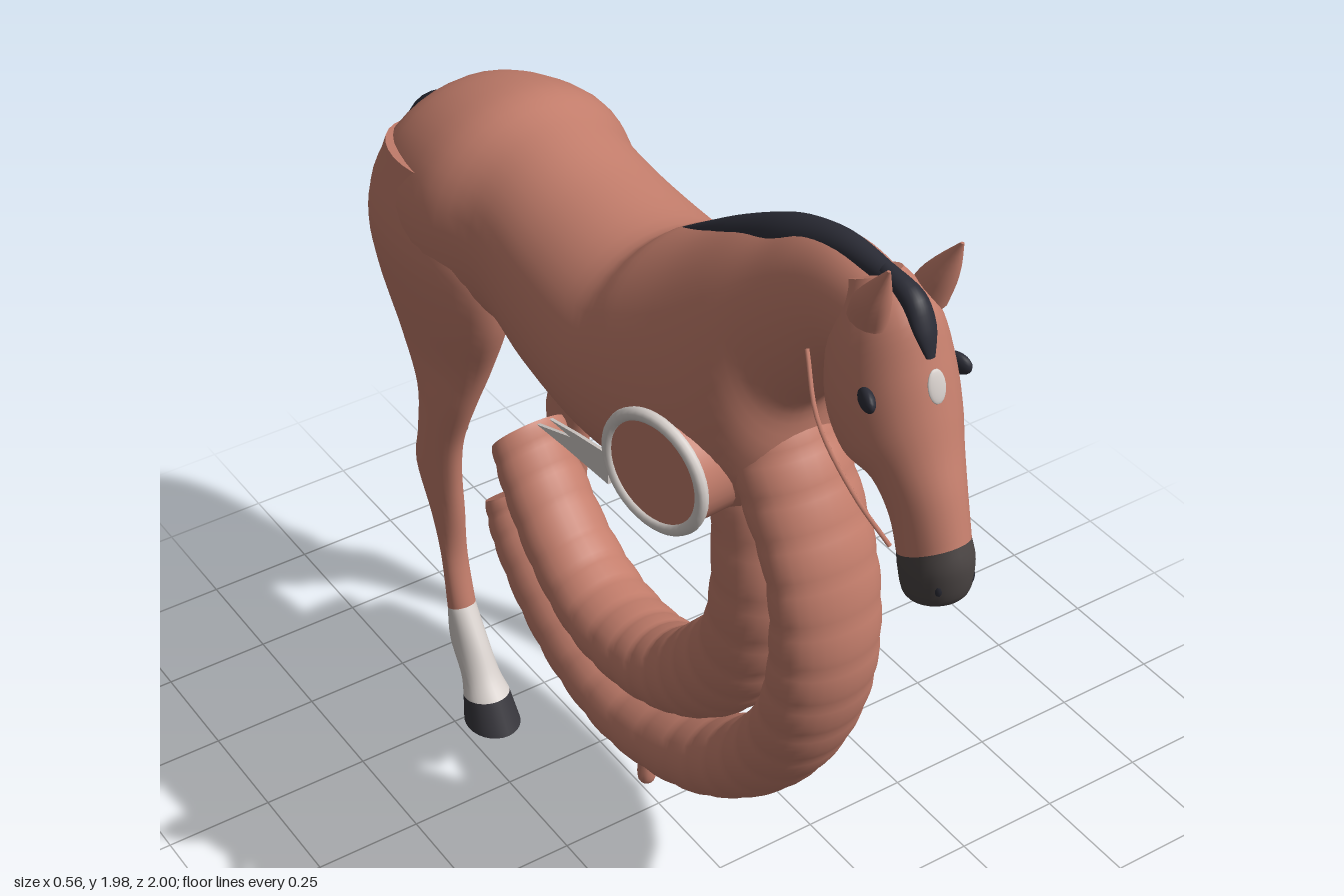
import * as THREE from 'three';

const mat = (name, color, side = THREE.FrontSide) => {
  const m = new THREE.MeshStandardMaterial({ color, side });
  m.name = name;
  return m;
};

// Loft of elliptical sections. Row: [zA, yA, zB, yB, halfWidth, centreX],
// where A and B are opposite points of the section in the side plane.
function loft(rows, { side = 1, sub = 5, n = 28, ripple = 0, waves = 3 } = {}) {
  const pos = [], idx = [], count = (rows.length - 1) * sub + 1;
  const row = i => rows[Math.min(rows.length - 1, Math.max(0, i))];
  const spline = (a, b, c, d, t) => {
    const p = (c - a) / 2, q = (d - b) / 2;
    return b + p * t + (3 * (c - b) - 2 * p - q) * t * t + (2 * (b - c) + p + q) * t * t * t;
  };
  for (let k = 0; k < count; k++) {
    const i = Math.min(rows.length - 2, Math.floor(k / sub)), t = k / sub - i;
    const [zA, yA, zB, yB, w, cx] = [0, 1, 2, 3, 4, 5].map(c =>
      spline(row(i - 1)[c] ?? 0, row(i)[c] ?? 0, row(i + 1)[c] ?? 0, row(i + 2)[c] ?? 0, t));
    const s = 1 - ripple * Math.abs(Math.cos(Math.PI * waves * (i + t))) ** 6;
    for (let j = 0; j < n; j++) {
      const a = j / n * Math.PI * 2, c = Math.cos(a) * s / 2;
      pos.push(side * (cx + Math.sin(a) * w * s), (yA + yB) / 2 + c * (yA - yB), (zA + zB) / 2 + c * (zA - zB));
    }
  }
  for (let k = 0; k < count - 1; k++) for (let j = 0; j < n; j++) {
    const a = k * n + j, b = k * n + (j + 1) % n;
    idx.push(a, b, a + n, b, b + n, a + n);
  }
  // Flat end caps with their own vertices
  for (const end of [0, count - 1]) {
    const base = pos.length / 3;
    for (let j = 0; j < n * 3; j++) pos.push(pos[end * n * 3 + j]);
    for (let j = 1; j < n - 1; j++) idx.push(base, ...(end ? [base + j, base + j + 1] : [base + j + 1, base + j]));
  }
  // Turn the faces outward
  const v = i => new THREE.Vector3().fromArray(pos, i * 3);
  let volume = 0;
  for (let i = 0; i < idx.length; i += 3) volume += v(idx[i]).dot(v(idx[i + 1]).cross(v(idx[i + 2])));
  if (volume < 0) for (let i = 0; i < idx.length; i += 3) [idx[i], idx[i + 1]] = [idx[i + 1], idx[i]];
  const g = new THREE.BufferGeometry();
  g.setAttribute('position', new THREE.Float32BufferAttribute(pos, 3));
  g.setIndex(idx);
  g.computeVertexNormals();
  return g;
}

export function createModel() {
  const root = new THREE.Group();
  root.name = 'horse';
  const coat = mat('chestnut coat', 0xc47e6c);
  const hair = mat('dark hair', 0x2b2c36);
  const white = mat('white markings', 0xd6cfcb, THREE.DoubleSide);
  const muzzleGrey = mat('muzzle grey', 0x4a4443);
  const hoofGrey = mat('hoof grey', 0x38373d);
  const add = (name, geo, m, parent = root) => {
    const mesh = new THREE.Mesh(geo, m);
    mesh.name = name;
    parent.add(mesh);
    return mesh;
  };

  // Body and neck
  add('bodyAndNeck', loft([
    [-0.85, 1.36, -0.85, 1.28, 0.05], [-0.82, 1.47, -0.83, 1.16, 0.19], [-0.74, 1.57, -0.76, 1.10, 0.245],
    [-0.54, 1.635, -0.54, 1.10, 0.27], [-0.39, 1.62, -0.37, 1.13, 0.225], [-0.2, 1.59, -0.2, 1.09, 0.235],
    [0, 1.58, 0, 1.075, 0.25], [0.08, 1.63, 0.22, 1.09, 0.25], [0.2, 1.70, 0.42, 1.16, 0.225],
    [0.33, 1.78, 0.50, 1.30, 0.18], [0.43, 1.83, 0.52, 1.45, 0.14], [0.52, 1.875, 0.58, 1.54, 0.11],
    [0.62, 1.895, 0.64, 1.62, 0.09], [0.74, 1.885, 0.70, 1.66, 0.08],
  ], { n: 40 }), coat);

  // Head and muzzle
  const headRows = [
    [0.75, 1.90, 0.63, 1.84, 0.05], [0.83, 1.86, 0.62, 1.70, 0.095], [0.87, 1.77, 0.64, 1.58, 0.115],
    [0.90, 1.68, 0.70, 1.50, 0.11], [0.925, 1.60, 0.775, 1.485, 0.088], [0.955, 1.52, 0.82, 1.42, 0.072],
    [0.982, 1.43, 0.84, 1.35, 0.066], [0.998, 1.38, 0.845, 1.33, 0.068], [0.99, 1.31, 0.86, 1.285, 0.06],
    [0.95, 1.28, 0.89, 1.268, 0.03],
  ];
  add('head', loft(headRows.slice(0, 7)), coat);
  add('muzzle', loft(headRows.slice(6)), muzzleGrey);
  const star = add('foreheadStar', new THREE.SphereGeometry(1, 16, 10), white);
  star.scale.set(0.02, 0.034, 0.005);
  star.position.set(0.004, 1.73, 0.884);
  star.rotation.x = -0.3;

  // Mane and forelock
  add('mane', loft([
    [0.06, 1.615, 0.06, 1.60, 0.006], [0.16, 1.685, 0.18, 1.64, 0.028], [0.28, 1.765, 0.32, 1.69, 0.05],
    [0.42, 1.845, 0.45, 1.75, 0.056], [0.53, 1.888, 0.55, 1.80, 0.045], [0.63, 1.908, 0.63, 1.84, 0.033],
    [0.75, 1.905, 0.73, 1.85, 0.024],
  ]), hair);
  add('forelock', loft([
    [0.73, 1.91, 0.73, 1.86, 0.02], [0.82, 1.895, 0.79, 1.86, 0.025], [0.858, 1.84, 0.83, 1.83, 0.025],
    [0.872, 1.785, 0.86, 1.785, 0.01],
  ]), hair);

  // Front coils: outer and inner ringed tubes in place of forelegs
  add('outerCoil', loft([
    [0.5, 1.42, 0.3, 1.35, 0.12], [0.58, 1.30, 0.40, 1.22, 0.125], [0.655, 1.13, 0.50, 1.08, 0.125],
    [0.685, 0.92, 0.51, 0.92, 0.125], [0.65, 0.72, 0.48, 0.77, 0.125], [0.56, 0.53, 0.40, 0.62, 0.12],
    [0.41, 0.36, 0.29, 0.49, 0.115], [0.2, 0.22, 0.15, 0.40, 0.11], [-0.05, 0.15, -0.05, 0.34, 0.11],
    [-0.28, 0.18, -0.22, 0.36, 0.11], [-0.46, 0.27, -0.37, 0.43, 0.105], [-0.59, 0.40, -0.48, 0.52, 0.1],
    [-0.64, 0.50, -0.53, 0.58, 0.09],
  ], { sub: 12, ripple: 0.03, waves: 2 }), coat);
  add('innerCoil', loft([
    [0.47, 1.2, 0.27, 1.2, 0.11], [0.495, 0.95, 0.285, 0.97, 0.115], [0.44, 0.72, 0.25, 0.80, 0.115],
    [0.34, 0.55, 0.15, 0.67, 0.115], [0.18, 0.42, 0.05, 0.57, 0.112], [-0.02, 0.345, -0.06, 0.53, 0.11],
    [-0.22, 0.35, -0.2, 0.53, 0.11], [-0.4, 0.44, -0.32, 0.59, 0.105], [-0.53, 0.58, -0.43, 0.70, 0.1],
    [-0.58, 0.68, -0.5, 0.79, 0.095],
  ], { sub: 12, ripple: 0.03, waves: 2 }), coat);
  add('coilStub', loft([
    [-0.025, 0.18, -0.075, 0.18, 0.025], [-0.032, 0.12, -0.068, 0.12, 0.018], [-0.028, 0.065, -0.072, 0.065, 0.022],
    [-0.032, 0.04, -0.068, 0.04, 0.018], [-0.045, 0.03, -0.055, 0.03, 0.005],
  ], { n: 14 }), coat);

  // Tail with pale ragged tips
  add('tail', loft([
    [-0.79, 1.495, -0.79, 1.41, 0.04], [-0.86, 1.475, -0.83, 1.37, 0.05], [-0.94, 1.42, -0.85, 1.30, 0.068],
    [-0.985, 1.32, -0.85, 1.20, 0.078], [-0.998, 1.18, -0.85, 1.10, 0.08], [-0.985, 0.9, -0.845, 0.88, 0.078],
    [-0.955, 0.55, -0.86, 0.55, 0.055],
  ]), hair);
  for (let i = 0; i < 12; i++) {
    const a = i / 12 * Math.PI * 2;
    const tip = add('tailTip', new THREE.ConeGeometry(0.014, 0.075 - 0.015 * (i % 2), 6), white);
    tip.rotation.x = Math.PI;
    tip.position.set(Math.sin(a) * 0.045, 0.54, -0.907 + Math.cos(a) * 0.038);
  }

  const leg = [
    [-0.45, 1.50, -0.79, 1.48, 0.1, 0.14], [-0.385, 1.32, -0.84, 1.32, 0.12, 0.16], [-0.395, 1.16, -0.83, 1.18, 0.11, 0.157],
    [-0.46, 1.00, -0.77, 1.02, 0.08, 0.155], [-0.505, 0.88, -0.69, 0.89, 0.056, 0.17], [-0.55, 0.76, -0.695, 0.75, 0.044, 0.178],
    [-0.57, 0.65, -0.72, 0.64, 0.042, 0.175], [-0.58, 0.53, -0.675, 0.51, 0.036, 0.168], [-0.588, 0.4, -0.64, 0.4, 0.032, 0.165],
    [-0.565, 0.27, -0.625, 0.25, 0.034, 0.163], [-0.51, 0.19, -0.62, 0.17, 0.04, 0.165], [-0.465, 0.12, -0.56, 0.1, 0.044, 0.168],
    [-0.425, 0.08, -0.54, 0.06, 0.054, 0.17], [-0.385, 0, -0.535, 0, 0.064, 0.17],
  ];
  const strap = new THREE.Shape([[-0.2, 1.25], [-0.08, 1.225], [0.02, 1.20], [-0.06, 1.205], [0.07, 1.155], [-0.04, 1.165], [-0.2, 1.175]]
    .map(p => new THREE.Vector2(...p)));

  for (const side of [1, -1]) {
    const label = side > 0 ? 'left' : 'right';
    // Hind leg
    add(label + 'HindLeg', loft(leg.slice(0, 10), { side }), coat);
    add(label + 'Sock', loft(leg.slice(9, 13), { side }), white);
    add(label + 'Hoof', loft(leg.slice(12), { side }), hoofGrey);

    // Ear, eye, nostril and cheek strap
    add(label + 'Ear', loft([
      [0.81, 1.83, 0.72, 1.84, 0.033, 0.066], [0.828, 1.90, 0.755, 1.90, 0.03, 0.075], [0.84, 1.98, 0.832, 1.98, 0.003, 0.08],
    ], { side, n: 14 }), coat);
    const eye = add(label + 'Eye', new THREE.SphereGeometry(1, 16, 12), hair);
    eye.scale.set(0.014, 0.022, 0.032);
    eye.position.set(side * 0.102, 1.705, 0.82);
    eye.rotation.y = side * 0.3;
    const nostril = add(label + 'Nostril', new THREE.SphereGeometry(1, 12, 8), hair);
    nostril.scale.set(0.012, 0.02, 0.01);
    nostril.position.set(side * 0.034, 1.345, 0.976);
    const rein = new THREE.CatmullRomCurve3([[0.095, 1.70, 0.63], [0.125, 1.6, 0.71], [0.105, 1.48, 0.80], [0.07, 1.39, 0.87]]
      .map(([x, y, z]) => new THREE.Vector3(side * x, y, z)));
    add(label + 'CheekStrap', new THREE.TubeGeometry(rein, 16, 0.005, 6), coat);

    // Shoulder stump with white ring and trailing strap
    const shoulder = new THREE.Group();
    shoulder.name = label + 'Shoulder';
    shoulder.position.set(side * 0.232, 1.285, 0.335);
    shoulder.rotation.y = side * (Math.PI / 2 - 0.22);
    root.add(shoulder);
    const stump = add('shoulderStump', new THREE.CylinderGeometry(0.125, 0.14, 0.14, 32), coat, shoulder);
    stump.rotation.x = Math.PI / 2;
    stump.position.z = -0.065;
    add('shoulderRing', new THREE.TorusGeometry(0.126, 0.014, 10, 40), white, shoulder);
    const plate = add(label + 'SideStrap', new THREE.ExtrudeGeometry(strap, { depth: 0.008, bevelEnabled: false }), white);
    plate.rotation.y = Math.PI / 2;
    plate.position.x = side > 0 ? 0.246 : -0.254;
  }
  return root;
}
